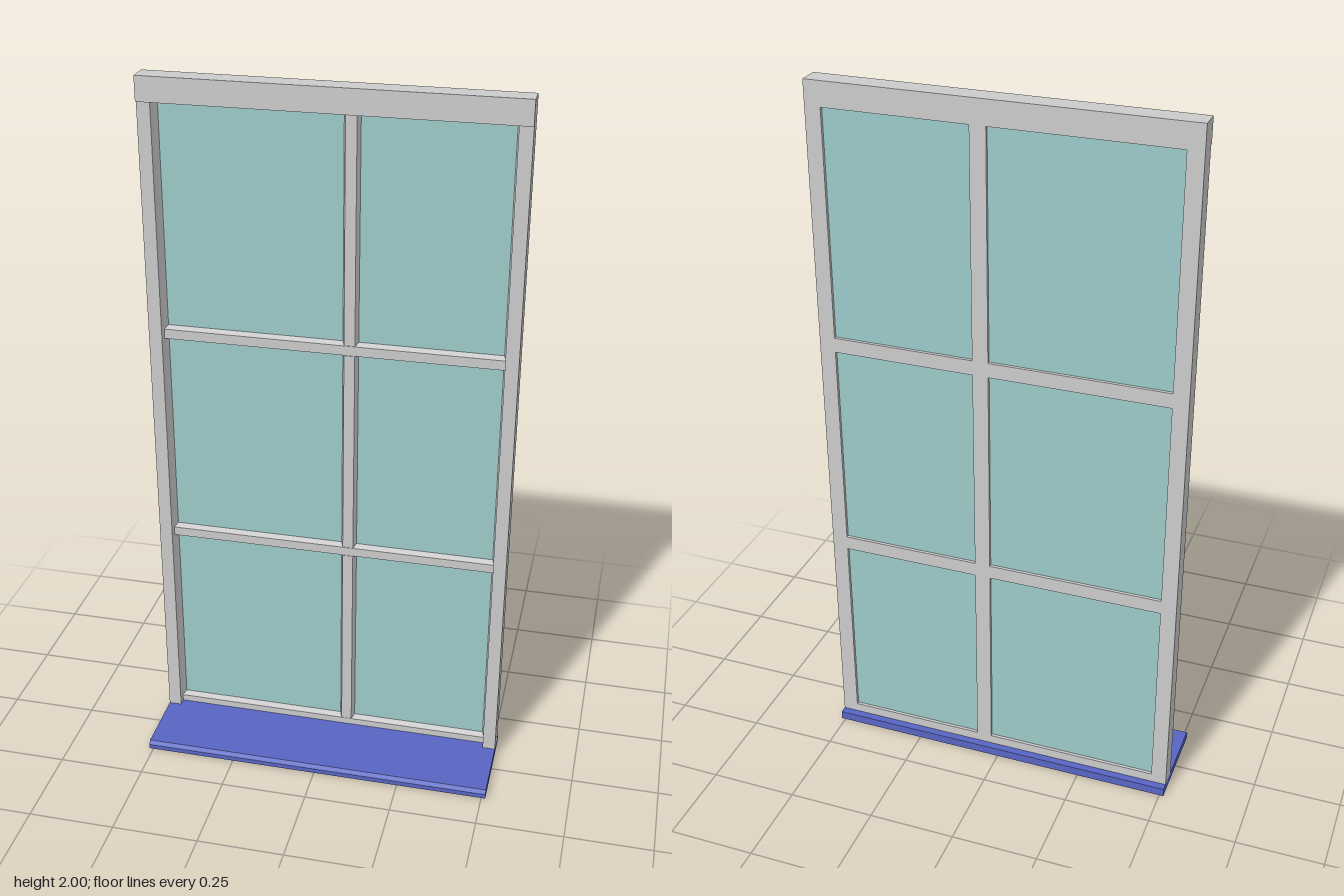
import * as THREE from 'three';

const FRAME = new THREE.MeshStandardMaterial({ color: 0xcccccc, flatShading: true });
const GLASS = new THREE.MeshStandardMaterial({ color: 0x9dcaca });
const SILL = new THREE.MeshStandardMaterial({ color: 0x5865c3, flatShading: true });

const BACK = -0.116, JAMB_FRONT = -0.062, HEAD_FRONT = -0.055, BAR_FRONT = -0.085;
const HALF_W = 0.512, INNER = 0.475;

export function createModel() {
  const group = new THREE.Group();
  group.name = 'window';

  function add(name, geometry, material) {
    const mesh = new THREE.Mesh(geometry, material);
    mesh.name = name;
    group.add(mesh);
    return mesh;
  }

  function box(name, x0, x1, y0, y1, z0, z1, material = FRAME) {
    const mesh = add(name, new THREE.BoxGeometry(x1 - x0, y1 - y0, z1 - z0), material);
    mesh.position.set((x0 + x1) / 2, (y0 + y1) / 2, (z0 + z1) / 2);
  }

  // Prism running along x from x0 to x1, with its section given as [z, y] points
  function prismX(name, section, x0, x1, material = FRAME) {
    const shape = new THREE.Shape(section.map(([z, y]) => new THREE.Vector2(-z, y)));
    const geometry = new THREE.ExtrudeGeometry(shape, { depth: x1 - x0, bevelEnabled: false });
    geometry.rotateY(Math.PI / 2);
    geometry.translate(x0, 0, 0);
    add(name, geometry, material);
  }

  // Prism running along y from y0 to y1, with its section given as [x, z] points
  function prismY(name, section, y0, y1) {
    const shape = new THREE.Shape(section.map(([x, z]) => new THREE.Vector2(x, -z)));
    const geometry = new THREE.ExtrudeGeometry(shape, { depth: y1 - y0, bevelEnabled: false });
    geometry.rotateX(-Math.PI / 2);
    geometry.translate(0, y0, 0);
    add(name, geometry, FRAME);
  }

  // Sill board with a chamfered front edge
  prismX('sill', [[-0.138, 0], [0.138, 0], [0.138, 0.014], [0.13, 0.025], [-0.138, 0.025]],
    -HALF_W, HALF_W, SILL);

  // Jambs, each with a bevelled glazing bead on its inner side
  for (const [side, s] of [['left', 1], ['right', -1]]) {
    prismY(side + 'Jamb', [
      [s * HALF_W, BACK], [s * HALF_W, JAMB_FRONT], [s * INNER, JAMB_FRONT],
      [s * INNER, BAR_FRONT], [s * 0.468, -0.103], [s * 0.468, BACK],
    ], 0.025, 1.94);
  }

  // Head rail, standing slightly proud of the jambs
  box('headRail', -HALF_W, HALF_W, 1.932, 2, BACK, HEAD_FRONT);

  // Horizontal glazing bars with bevelled front edges
  for (const [name, y0, y1] of [['lowerBar', 0.622, 0.662], ['upperBar', 1.255, 1.297]]) {
    prismX(name, [
      [BACK, y0], [-0.103, y0], [BAR_FRONT, y0 + 0.007],
      [BAR_FRONT, y1 - 0.007], [-0.103, y1], [BACK, y1],
    ], -INNER, INNER);
  }

  // Bottom rail, bevelled on its upper edge
  prismX('bottomRail', [
    [BACK, 0.025], [BAR_FRONT, 0.025], [BAR_FRONT, 0.045], [-0.103, 0.052], [BACK, 0.052],
  ], -INNER, INNER);

  // Upright glazing bar, off centre, in one length per row of panes
  const section = [
    [0.028, BACK], [0.028, -0.103], [0.035, BAR_FRONT],
    [0.065, BAR_FRONT], [0.072, -0.103], [0.072, BACK],
  ];
  const rows = [[0.046, 0.628], [0.656, 1.261], [1.291, 1.935]];
  rows.forEach(([y0, y1], i) => prismY('uprightBar' + (i + 1), section, y0, y1));

  // Glass panes
  rows.forEach(([y0, y1], i) => {
    box('leftPane' + (i + 1), 0.07, 0.47, y0, y1, -0.107, -0.103, GLASS);
    box('rightPane' + (i + 1), -0.47, 0.03, y0, y1, -0.107, -0.103, GLASS);
  });

  return group;
}
